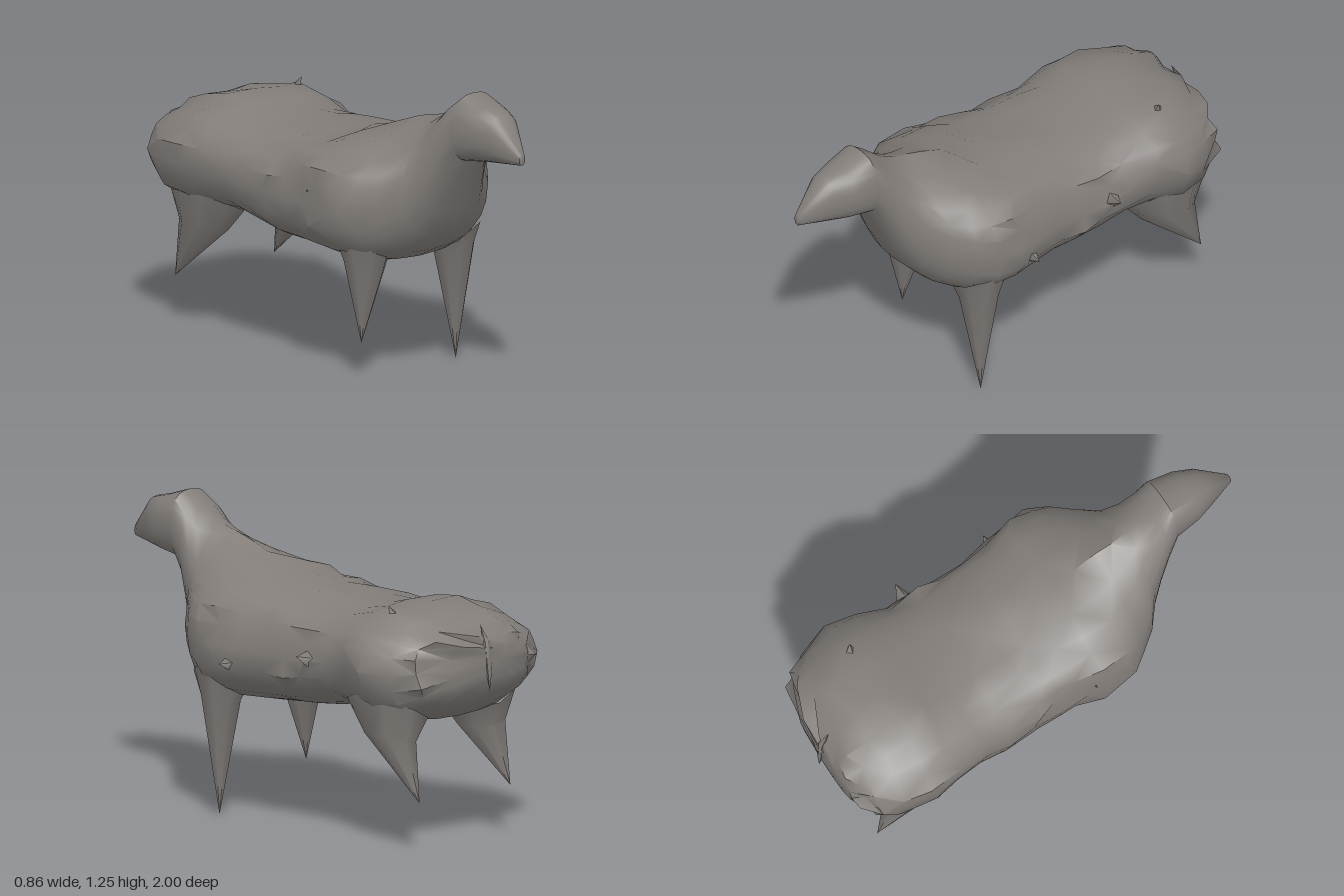
import * as THREE from 'three';
import { toCreasedNormals } from 'three/addons/utils/BufferGeometryUtils.js';

// Repeatable noise in -1..1
const noise = (i, j, k) => {
  const s = Math.sin(i * 127.1 + j * 311.7 + k * 74.7) * 43758.5453;
  return (s - Math.floor(s)) * 2 - 1;
};
const squash = (v, e) => Math.sign(v) * Math.pow(Math.abs(v), e);

// Skins a list of closed rings of points
function skin(rings, crease) {
  const pos = [];
  const n = rings[0].length;
  for (let i = 0; i < rings.length - 1; i++) {
    for (let j = 0; j < n; j++) {
      const k = (j + 1) % n;
      const a = rings[i][j], b = rings[i + 1][j], c = rings[i][k], d = rings[i + 1][k];
      if ((i + j) % 2) pos.push(...a, ...b, ...c, ...c, ...b, ...d);
      else pos.push(...a, ...b, ...d, ...a, ...d, ...c);
    }
  }
  const g = new THREE.BufferGeometry();
  g.setAttribute('position', new THREE.Float32BufferAttribute(pos, 3));
  return toCreasedNormals(g, crease);
}

// Cross-sections facing along z: [z, top, bottom, halfWidth, centreX, lump, hump]
// The hump raises the middle of the back into the nape of the neck.
function alongZ(rows, sides, power) {
  return rows.map(([z, top, bottom, w, cx, lump = 0, hump = 0], i) =>
    Array.from({ length: sides }, (_, j) => {
      const t = (j / sides) * Math.PI * 2;
      // wool lumps fade out toward the smooth belly
      const s = lump * (Math.sin(t) < -0.5 ? 0.3 : 1);
      const r = 1 + s * noise(i, j, 1);
      const x = w * r * squash(Math.cos(t), power);
      const nape = Math.sin(t) > 0.01 ? hump * Math.exp(-((x / 0.15) ** 2)) : 0;
      return [
        cx + x,
        (top + bottom) / 2 + ((top - bottom) / 2) * r * squash(Math.sin(t), power) + nape,
        z + s * 0.6 * noise(i, j, 2),
      ];
    }));
}

// Cross-sections stacked downward: [y, x, z, halfX, halfZ, slope]
function alongY(rows, sides) {
  return rows.map(([y, x, z, rx, rz, slope = 0]) =>
    Array.from({ length: sides }, (_, j) => {
      const t = ((j + 0.5) / sides) * Math.PI * 2;
      return [x + rx * Math.cos(t), y + slope * Math.cos(t), z - rz * Math.sin(t)];
    }));
}

export function createModel() {
  const model = new THREE.Group();
  const fleece = new THREE.MeshStandardMaterial({ color: 0x827d79 });
  fleece.name = 'grey fleece';
  const add = (name, geometry) => {
    const mesh = new THREE.Mesh(geometry, fleece);
    mesh.name = name;
    model.add(mesh);
    return mesh;
  };

  // Pointed muzzle, neck flowing into the chest, lumpy woolly body and rump
  add('body', skin(alongZ([
    [1.0, 1.04, 1.04, 0, -0.025],
    [0.995, 1.065, 1.015, 0.015, -0.025],
    [0.87, 1.2, 1.0, 0.078, -0.015],
    [0.79, 1.22, 0.99, 0.108, -0.01],
    [0.68, 1.255, 0.97, 0.122, -0.01],
    [0.62, 1.205, 0.86, 0.14, -0.02],
    [0.56, 1.08, 0.73, 0.17, -0.02, 0, 0.08],
    [0.5, 1.02, 0.62, 0.215, -0.02, 0, 0.11],
    [0.43, 0.995, 0.545, 0.3, -0.02, 0.01, 0.115],
    [0.35, 1.0, 0.5, 0.365, -0.015, 0.02, 0.09],
    [0.27, 1.0, 0.485, 0.41, -0.015, 0.03, 0.05],
    [0.16, 1.0, 0.48, 0.41, -0.015, 0.05, 0.02],
    [0.04, 0.985, 0.485, 0.39, -0.015, 0.05],
    [-0.07, 0.97, 0.49, 0.375, -0.02, 0.05],
    [-0.18, 0.955, 0.495, 0.38, -0.02, 0.05],
    [-0.3, 0.95, 0.515, 0.38, -0.015, 0.05],
    [-0.43, 0.945, 0.54, 0.38, -0.015, 0.04],
    [-0.56, 0.975, 0.535, 0.395, -0.01, 0.05],
    [-0.69, 0.985, 0.51, 0.42, 0, 0.04],
    [-0.82, 0.96, 0.525, 0.395, -0.01, 0.04],
    [-0.91, 0.925, 0.58, 0.345, -0.02, 0.04],
    [-0.96, 0.88, 0.64, 0.24, -0.06, 0.04],
    [-0.985, 0.83, 0.7, 0.13, -0.12],
    [-0.985, 0.77, 0.77, 0, -0.1],
  ], 24, 0.82), 0.75));

  // Spike legs: front pair differ in length, hind pair sweep backward
  for (const [side, name, tip, lean] of [[1, 'Left', 0.005, 0.245], [-1, 'Right', 0.16, 0.235]]) {
    add('frontLeg' + name, skin(alongY([
      [0.57, side * 0.25, 0.26, 0.115, 0.12, side * 0.06],
      [0.49, side * lean, 0.265, 0.09, 0.085, side * 0.02],
      [tip, side * 0.253, 0.265, 0, 0],
    ], 8), 1.1));
    add('hindLeg' + name, skin(alongY([
      [0.58, side * 0.255, -0.68, 0.115, 0.2, side * 0.06],
      [0.46, side * 0.26, -0.7, 0.082, 0.125, side * 0.02],
      [0.21, side * 0.265, -0.87, 0, 0],
    ], 8), 1.1));
  }

  // Thin hanging tail
  add('tail', skin(alongY([
    [0.92, -0.015, -0.94, 0, 0],
    [0.85, -0.015, -0.975, 0.014, 0.014],
    [0.74, -0.02, -0.985, 0.015, 0.012],
    [0.65, -0.02, -0.99, 0, 0],
  ], 6), 1.0));

  // Loose tufts of wool standing off the fleece: [x, y, z, tilt]
  const tufts = [
    [0.375, 0.75, -0.33, -1.3], [0.38, 0.67, 0.1, -1.5],
    [0.22, 0.95, -0.68, -0.4], [-0.36, 0.78, 0.1, 1.3],
  ];
  for (const [x, y, z, tilt] of tufts) {
    const tuft = add('woolTuft', new THREE.ConeGeometry(0.05, 0.1, 4));
    tuft.position.set(x, y, z);
    tuft.rotation.set(0.2, 0, tilt);
  }
  return model;
}
